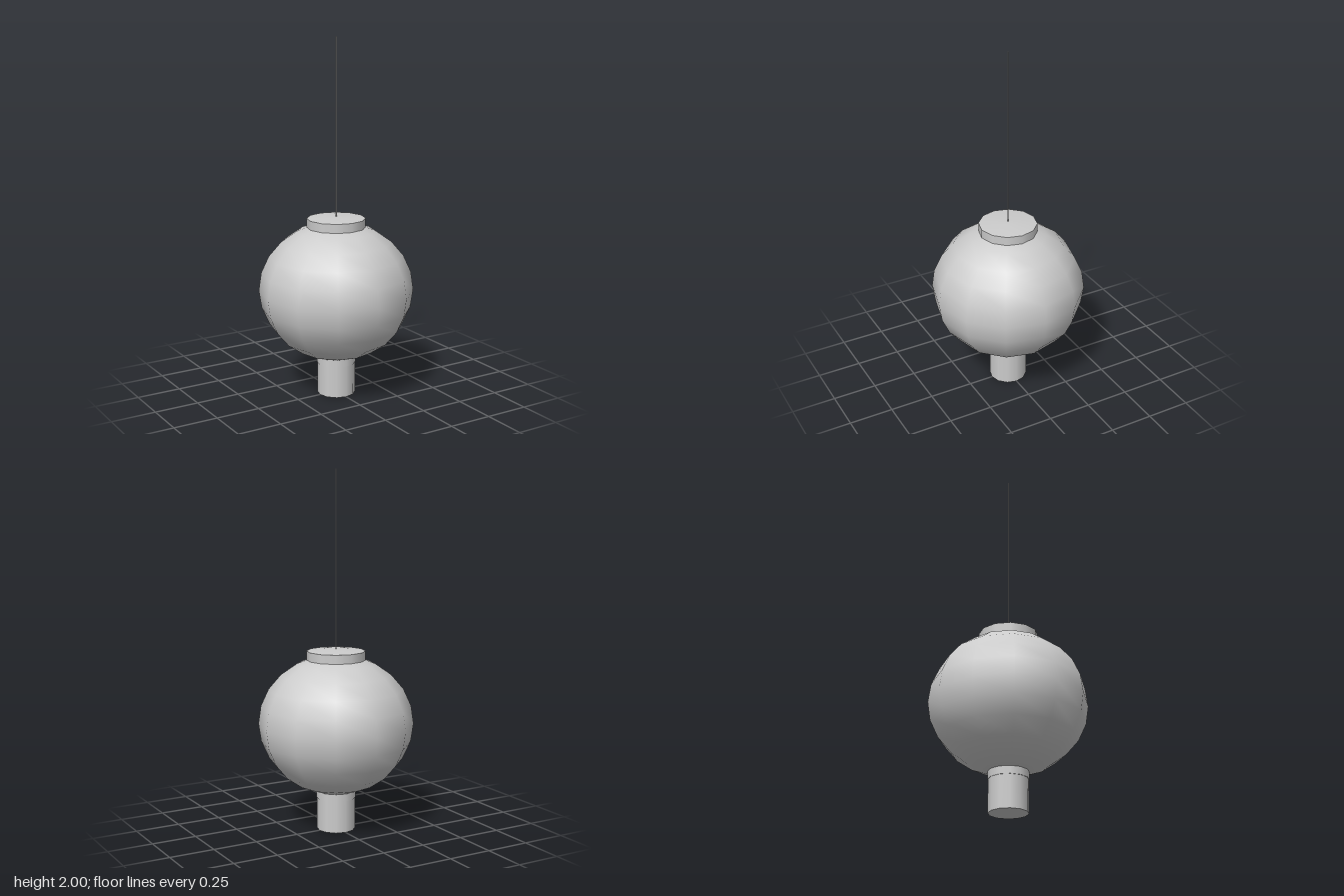
import * as THREE from 'three';

const SIDES = 12;

export function createModel() {
  const lantern = new THREE.Group();
  lantern.name = 'hangingLantern';
  const material = new THREE.MeshStandardMaterial({ color: 0xcccccc });

  const add = (name, geometry, parent = lantern) => {
    const mesh = new THREE.Mesh(geometry, material);
    mesh.name = name;
    parent.add(mesh);
    return mesh;
  };

  // Upright cylinder between two heights
  const column = (radius, bottom, top, sides = SIDES, open = false) =>
    new THREE.CylinderGeometry(radius, radius, top - bottom, sides, 1, open)
      .translate(0, (bottom + top) / 2, 0);

  // Slightly squashed paper globe
  add('globe', new THREE.SphereGeometry(0.432, SIDES, 12).scale(1, 0.905, 1).translate(0, 0.6, 0));

  // Top cap: straight rim, shallow domed lid and flat underside
  const cap = new THREE.Group();
  cap.name = 'topCap';
  lantern.add(cap);
  add('capRim', column(0.163, 0.96, 1.01, SIDES, true), cap);
  const lid = [[0.163, 1.01], [0.08, 1.018], [0, 1.02]].map(([r, y]) => new THREE.Vector2(r, y));
  add('capLid', new THREE.LatheGeometry(lid, SIDES), cap);
  add('capUnderside', new THREE.CircleGeometry(0.163, SIDES).rotateX(Math.PI / 2).translate(0, 0.96, 0), cap);

  // Tassel below the globe, with the collar that holds it
  add('tasselCollar', column(0.11, 0.18, 0.235));
  add('tassel', column(0.107, 0, 0.2));

  // Hanging cord
  add('cord', column(0.0035, 1.01, 2, 6));

  return lantern;
}
